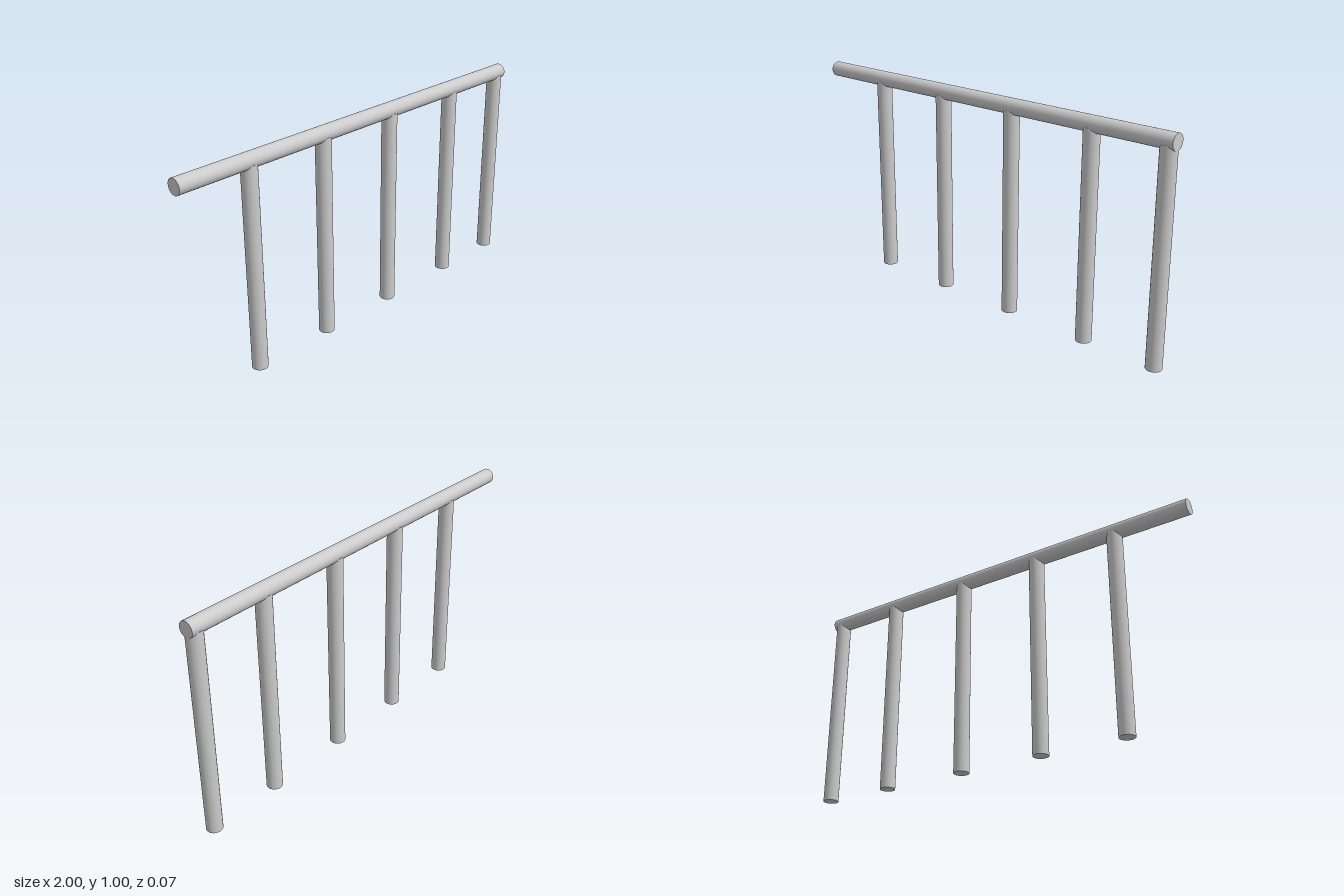
import * as THREE from 'three';

const RADIUS = 0.036;
const RAIL_Y = 0.969;
const POST_TOP = 0.957;
const POST_X = [-0.644, -0.238, 0.177, 0.604, 0.963];

export function createModel() {
  const group = new THREE.Group();
  group.name = 'railing';
  const material = new THREE.MeshStandardMaterial({ color: 0xcccccc });

  // Round bar with capped ends, standing along y
  const bar = (name, length) => {
    const mesh = new THREE.Mesh(new THREE.CylinderGeometry(RADIUS, RADIUS, length, 48), material);
    mesh.name = name;
    group.add(mesh);
    return mesh;
  };

  // Horizontal handrail
  const rail = bar('handrail', 2);
  rail.rotation.z = Math.PI / 2;
  rail.position.y = RAIL_Y;

  // Posts, ending inside the handrail
  POST_X.forEach((x, i) => {
    bar(`post${i + 1}`, POST_TOP).position.set(x, POST_TOP / 2, 0);
  });

  return group;
}
